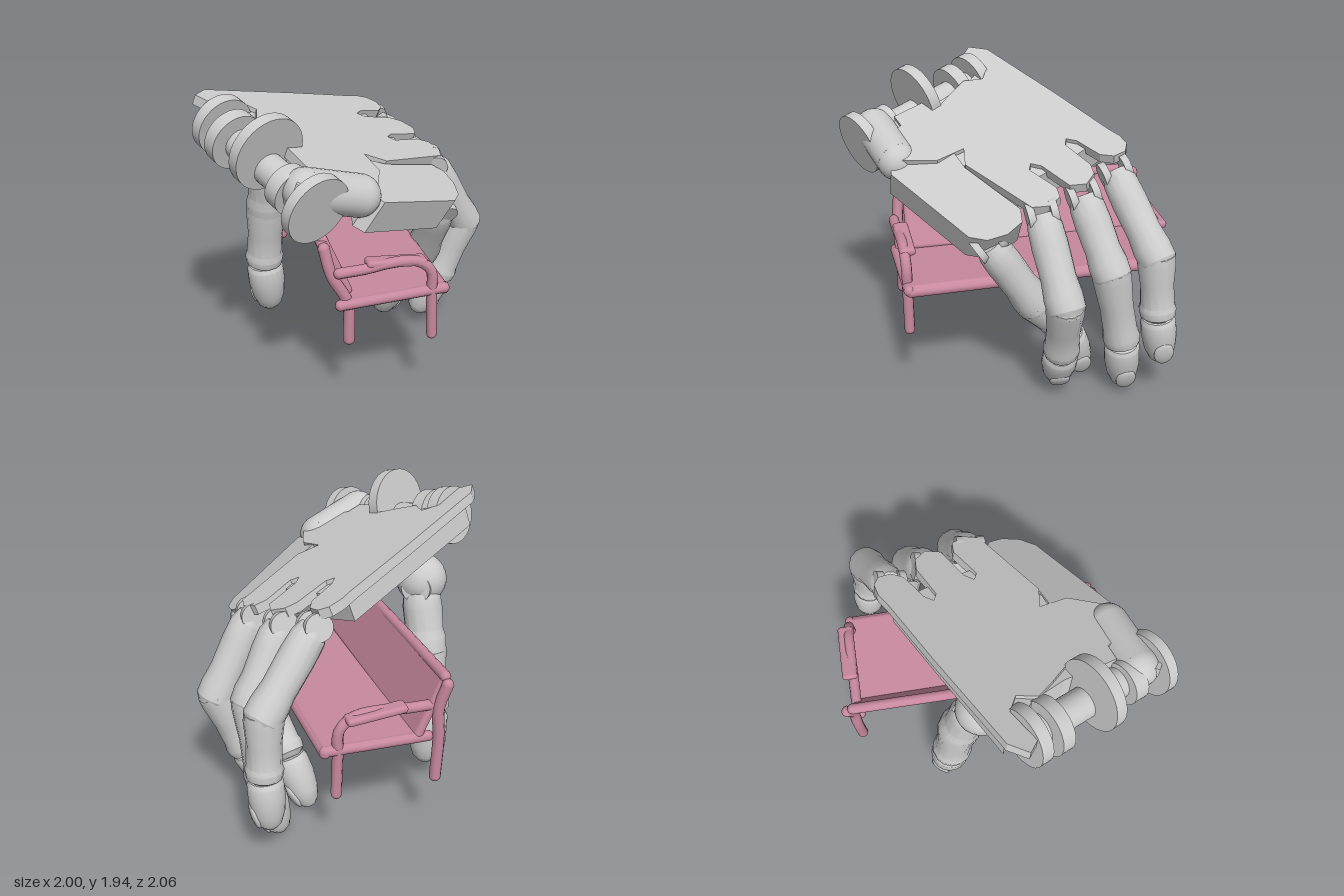
import * as THREE from 'three';
import { RoundedBoxGeometry } from 'three/addons/geometries/RoundedBoxGeometry.js';
import { toCreasedNormals } from 'three/addons/utils/BufferGeometryUtils.js';

const V = (x, y, z) => new THREE.Vector3(x, y, z);
const grey = new THREE.MeshStandardMaterial({ color: 0xcccccc });
const pink = new THREE.MeshStandardMaterial({ color: 0xc8899f });
const wristAxis = V(0.43, -0.26, 0.87).normalize();
const backOfHand = (x, z) => 1.6 - 0.349 * x - 0.15 * z;
const foldedSide = (x, z) => 1.66 - 0.55 * x - 0.3 * z;

function add(parent, name, geometry, material = grey) {
  const mesh = new THREE.Mesh(geometry, material);
  mesh.name = name;
  parent.add(mesh);
  return mesh;
}

// Group at p whose y axis points to q and whose x axis leans towards hint
function frame(parent, name, p, q, hint) {
  const y = q.clone().sub(p).normalize();
  const x = hint.clone().addScaledVector(y, -hint.dot(y)).normalize();
  const g = new THREE.Group();
  g.name = name;
  g.quaternion.setFromRotationMatrix(new THREE.Matrix4().makeBasis(x, y, x.clone().cross(y)));
  g.position.copy(p);
  parent.add(g);
  return g;
}

// Plate cut from an outline in plan (x, z), laid on a sloping plane and thickened along offset
function plate(parent, name, outline, plane, offset) {
  const shape = new THREE.Shape(outline.map(([x, z]) => new THREE.Vector2(x, z)));
  const geo = new THREE.ExtrudeGeometry(shape, { depth: 1, bevelEnabled: false });
  const pos = geo.attributes.position;
  for (let i = 0; i < pos.count; i++) {
    const x = pos.getX(i), z = pos.getY(i), t = pos.getZ(i);
    pos.setXYZ(i, x + offset.x * t, plane(x, z) + offset.y * t, z + offset.z * t);
  }
  geo.computeVertexNormals();
  return add(parent, name, geo);
}

// Turned shape from [radius, height] pairs
function turned(points, sides = 14) {
  const pts = points.map(([r, h]) => new THREE.Vector2(r, h));
  return toCreasedNormals(new THREE.LatheGeometry(pts, sides), 0.5);
}

function rod(parent, name, p, q, r, sides = 28) {
  const g = frame(parent, name, p, q, V(1, 0.1, 0.2));
  const l = p.distanceTo(q);
  add(g, name, new THREE.CylinderGeometry(r, r, l, sides)).position.y = l / 2;
}

function disc(parent, name, c, r, t) {
  rod(parent, name, c.clone().addScaledVector(wristAxis, -t / 2), c.clone().addScaledVector(wristAxis, t / 2), r, 36);
}

function finger(parent, name, joints, r, hint) {
  const hand = new THREE.Group();
  hand.name = name;
  parent.add(hand);
  const [a, b, c, tip] = joints;

  // Forked root with its hinge pin
  const root = frame(hand, 'fingerRoot', a, b, hint);
  const l1 = a.distanceTo(b);
  add(root, 'proximalSegment', turned([[0, 0], [r * 0.72, 0], [r * 0.95, 0.07], [r, l1 * 0.35],
    [r * 0.96, l1 * 0.7], [r * 1.07, l1 - 0.06], [r * 1.05, l1 + 0.03], [r * 0.7, l1 + 0.09], [0, l1 + 0.1]]));
  for (const s of [-1, 1]) {
    const lug = add(root, 'knuckleLug', new THREE.CylinderGeometry(r * 0.75, r * 0.75, 0.045, 24));
    lug.rotation.x = Math.PI / 2;
    lug.position.z = s * r * 0.62;
  }

  // Middle segment, swelling at both joints
  const mid = frame(hand, 'fingerMiddle', b, c, hint);
  const l2 = b.distanceTo(c);
  add(mid, 'middleSegment', turned([[0, -r * 0.85], [r * 0.6, -r * 0.75], [r * 1.03, -r * 0.2], [r * 1.06, r * 0.3],
    [r * 0.93, l2 * 0.45], [r * 0.95, l2 * 0.8], [r * 1.04, l2 - 0.05], [r * 0.98, l2], [r * 0.6, l2 + 0.035], [0, l2 + 0.035]]));

  // Fingertip and nail
  const end = frame(hand, 'fingertip', c, tip, hint);
  const l3 = c.distanceTo(tip);
  add(end, 'tipSegment', turned([[0, 0.02], [r * 0.85, 0.02], [r * 0.98, 0.05], [r, l3 * 0.4], [r * 0.88, l3 * 0.68],
    [r * 0.66, l3 * 0.88], [r * 0.35, l3 * 0.98], [0, l3]], 20));
  const nail = add(end, 'nail', new THREE.SphereGeometry(1, 18, 12));
  nail.scale.set(r * 0.22, l3 * 0.25, r * 0.58);
  nail.position.set(r * 0.74, l3 * 0.7, 0);
  nail.rotation.z = 0.22;
}

function buildHand() {
  const hand = new THREE.Group();
  hand.name = 'mechanicalHand';

  // Back plate with a rounded tongue over each knuckle
  plate(hand, 'backPlate', [[-0.9, -0.05], [-0.3, -0.38], [0.14, -0.61], [0.22, -0.66], [0.3, -0.68], [0.36, -0.65], [0.38, -0.57],
    [0.34, -0.49], [0.18, -0.39], [0.14, -0.33], [0.19, -0.31], [0.4, -0.41], [0.48, -0.41], [0.55, -0.34], [0.53, -0.24],
    [0.32, -0.12], [0.28, -0.06], [0.33, -0.04], [0.52, -0.16], [0.6, -0.16], [0.65, -0.08], [0.63, 0.02],
    [0.16, 0.33], [0.02, 0.31], [0.07, 0.49], [0, 0.7], [-0.05, 0.75], [-0.26, 0.86], [-0.46, 0.97], [-0.53, 0.93],
    [-0.5, 0.87], [-0.27, 0.74], [-0.32, 0.66], [-0.42, 0.69], [-0.5, 0.47], [-0.43, 0.38], [-0.53, 0.28],
    [-0.62, 0.18], [-0.6, 0.05], [-0.7, 0.0], [-0.9, 0.12], [-0.97, 0.07]], backOfHand, V(-0.02, -0.06, -0.01));
  plate(hand, 'palmBody', [[-0.85, -0.05], [0.16, -0.58], [0.3, -0.28], [0.42, 0.06], [0.1, 0.36], [0, 0.66],
    [-0.4, 0.9], [-0.42, 0.65], [-0.52, 0.35], [-0.63, 0.15]], (x, z) => backOfHand(x, z) - 0.03, V(-0.05, -0.17, -0.02));

  // Folded plate carrying the little finger
  plate(hand, 'littleFingerPlate', [[0.02, 0.38], [0.16, 0.33], [0.55, 0.07], [0.63, 0.08], [0.67, 0.18], [0.66, 0.3],
    [0.6, 0.4], [0.02, 0.78], [-0.05, 0.76]], foldedSide, V(-0.12, -0.18, 0));

  // Bulge along the outer edge of the palm
  const p = V(-0.46, 1.56, 0.82), q = V(-0.12, 1.45, 0.72);
  rod(hand, 'palmEdge', p, q, 0.13);
  for (const c of [p, q]) add(hand, 'palmEdgeEnd', new THREE.SphereGeometry(0.13, 24, 16)).position.copy(c);

  // Wrist barrel and hinge discs
  rod(hand, 'wristBarrel', V(-0.83, 1.71, 0.06), V(-0.44, 1.49, 0.88), 0.1);
  disc(hand, 'innerWristDisc', V(-0.82, 1.73, 0.08), 0.19, 0.08);
  disc(hand, 'innerWristHub', V(-0.77, 1.68, 0.22), 0.18, 0.09);
  disc(hand, 'mainWristDisc', V(-0.62, 1.69, 0.51), 0.235, 0.075);
  disc(hand, 'outerWristHub', V(-0.53, 1.54, 0.74), 0.14, 0.1);
  disc(hand, 'outerWristDisc', V(-0.42, 1.48, 0.91), 0.21, 0.07);

  // Fingers
  const out = V(1, 0.35, 0.1);
  finger(hand, 'indexFinger', [V(0.36, 1.44, -0.59), V(0.73, 1.0, -0.75), V(0.75, 0.6, -0.78), V(0.74, 0.24, -0.83)], 0.115, out);
  finger(hand, 'middleFinger', [V(0.49, 1.36, -0.34), V(0.73, 0.93, -0.46), V(0.7, 0.4, -0.57), V(0.62, 0.02, -0.62)], 0.117, out);
  finger(hand, 'ringFinger', [V(0.59, 1.31, -0.05), V(0.87, 0.82, -0.13), V(0.71, 0.39, -0.16), V(0.55, 0.09, -0.18)], 0.115, out);
  finger(hand, 'littleFinger', [V(0.55, 1.13, 0.27), V(0.53, 0.67, -0.02), V(0.45, 0.36, -0.28), V(0.35, 0.0, -0.42)], 0.115, out);

  // Thumb with its ball joint
  const ball = add(hand, 'thumbBall', new THREE.SphereGeometry(0.165, 24, 16));
  ball.position.set(-0.53, 1.41, -0.14);
  finger(hand, 'thumb', [V(-0.51, 1.38, -0.18), V(-0.51, 0.99, -0.29), V(-0.53, 0.55, -0.36), V(-0.49, 0.15, -0.4)], 0.13, V(-0.7, 0, -0.7));
  return hand;
}

function buildBench() {
  const bench = new THREE.Group();
  bench.name = 'bench';

  // Round bar through points with ball ends
  const bar = (name, pts, r) => {
    add(bench, name, new THREE.TubeGeometry(new THREE.CatmullRomCurve3(pts), 24, r, 10), pink);
    for (const e of [pts[0], pts[pts.length - 1]]) add(bench, name + 'End', new THREE.SphereGeometry(r, 12, 8), pink).position.copy(e);
  };

  // Seat and leaning backrest
  const seat = add(bench, 'seat', new RoundedBoxGeometry(0.64, 0.07, 1.72, 3, 0.03), pink);
  seat.position.set(0.12, 0.77, -0.09);
  seat.rotation.z = 0.06;
  const back = add(bench, 'backrest', new RoundedBoxGeometry(0.06, 0.44, 1.64, 3, 0.028), pink);
  back.position.set(-0.25, 0.965, -0.14);
  back.rotation.set(-0.02, 0, 0.4);
  bar('backTopRail', [V(-0.33, 1.13, 0.66), V(-0.33, 1.15, -0.1), V(-0.33, 1.155, -0.94)], 0.035);
  bar('seatFrontRail', [V(0.42, 0.78, 0.74), V(0.42, 0.78, -0.1), V(0.42, 0.78, -0.93)], 0.035);

  // Legs, posts and arms at both ends
  for (const [z, backX, backFoot] of [[0.75, -0.18, 0.49], [-0.93, -0.29, 0.46]]) {
    bar('frontLeg', [V(0.35, 0.47, z), V(0.34, 0.75, z), V(0.33, 0.92, z), V(0.24, 0.995, z), V(0.05, 1.0, z), V(-0.08, 0.98, z), V(-0.25, 0.97, z)], 0.034);
    bar('backLeg', [V(backX, backFoot, z - 0.03), V(backX - 0.01, 0.75, z - 0.03), V(-0.29, 0.95, z - 0.03), V(-0.33, 1.12, z - 0.05)], 0.037);
    bar('sideRail', [V(-0.24, 0.75, z), V(0.1, 0.77, z), V(0.42, 0.79, z)], 0.035);
    const pad = add(bench, 'armPad', new RoundedBoxGeometry(0.38, 0.05, 0.1, 3, 0.022), pink);
    pad.position.set(0.11, 1.0, z - 0.02);
    pad.rotation.z = -0.06;
  }
  return bench;
}

export function createModel() {
  const model = new THREE.Group();
  model.name = 'handHoldingBench';
  model.add(buildHand(), buildBench());
  return model;
}
